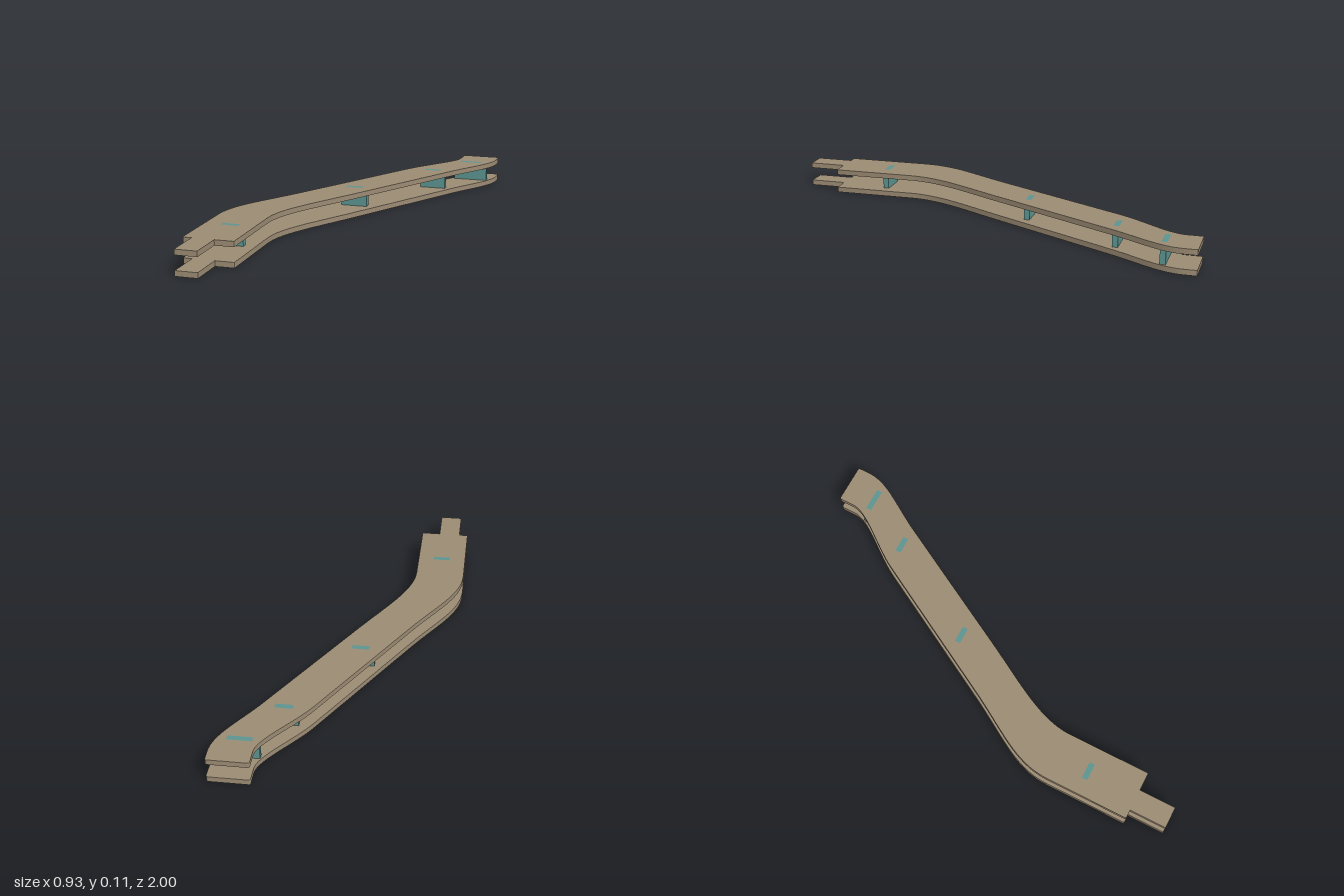
import * as THREE from 'three';
import { toCreasedNormals } from 'three/addons/utils/BufferGeometryUtils.js';

const PLATE = 0.024, GAP_TOP = 0.087, HEIGHT = 0.111, THICK = 0.025;

// Spacers: centre x, centre z, body width, tab width
const SPACERS = [
  [-0.354, 0.6, 0.122, 0.076],
  [-0.053, -0.18, 0.122, 0.076],
  [0.211, -0.63, 0.122, 0.076],
  [0.351, -0.855, 0.162, 0.104],
];

// Plan outline of a plate, drawn with shape y = -z
function plateShape() {
  const s = new THREE.Shape();
  s.moveTo(-0.425, -1);
  s.lineTo(-0.327, -1);
  s.lineTo(-0.327, -0.833);
  s.lineTo(-0.25, -0.833);
  s.quadraticCurveTo(-0.243, -0.833, -0.243, -0.826);
  s.lineTo(-0.243, -0.46);
  s.bezierCurveTo(-0.243, -0.31, -0.137, -0.165, -0.025, 0.035);
  s.lineTo(0.31, 0.635);
  s.bezierCurveTo(0.39, 0.77, 0.463, 0.85, 0.463, 0.95);
  s.lineTo(0.463, 0.99);
  s.quadraticCurveTo(0.463, 1, 0.453, 1);
  s.lineTo(0.295, 1);
  s.quadraticCurveTo(0.285, 1, 0.285, 0.99);
  s.lineTo(0.285, 0.93);
  s.bezierCurveTo(0.285, 0.85, 0.15, 0.73, 0.085, 0.61);
  s.lineTo(-0.257, 0);
  s.bezierCurveTo(-0.37, -0.2, -0.465, -0.3, -0.465, -0.46);
  s.lineTo(-0.465, -0.826);
  s.quadraticCurveTo(-0.465, -0.833, -0.458, -0.833);
  s.lineTo(-0.425, -0.833);
  s.closePath();

  // Slots that receive the spacer tabs
  for (const [x, z, , tab] of SPACERS) {
    const w = tab / 2, t = THICK / 2;
    s.holes.push(new THREE.Path([
      new THREE.Vector2(x - w, -z - t),
      new THREE.Vector2(x - w, -z + t),
      new THREE.Vector2(x + w, -z + t),
      new THREE.Vector2(x + w, -z - t),
    ]));
  }
  return s;
}

export function createModel() {
  const group = new THREE.Group();
  const plateMat = new THREE.MeshStandardMaterial({ color: 0x9b8b73 });
  const spacerMat = new THREE.MeshStandardMaterial({ color: 0x5b9490 });

  // Two identical plates, one above the other
  const flat = new THREE.ExtrudeGeometry(plateShape(), { depth: PLATE, bevelEnabled: false, curveSegments: 20 });
  flat.rotateX(-Math.PI / 2);
  const plateGeo = toCreasedNormals(flat, 0.5);
  for (const [name, y] of [['lowerPlate', 0], ['upperPlate', GAP_TOP]]) {
    const plate = new THREE.Mesh(plateGeo, plateMat);
    plate.name = name;
    plate.position.y = y;
    group.add(plate);
  }

  // Spacers with a tab at each end, flush with the outer plate faces
  SPACERS.forEach(([x, z, body, tab], i) => {
    const b = body / 2, t = tab / 2;
    const profile = new THREE.Shape([
      [-t, 0], [t, 0], [t, PLATE], [b, PLATE], [b, GAP_TOP], [t, GAP_TOP],
      [t, HEIGHT], [-t, HEIGHT], [-t, GAP_TOP], [-b, GAP_TOP], [-b, PLATE], [-t, PLATE],
    ].map(([px, py]) => new THREE.Vector2(px, py)));
    const geo = new THREE.ExtrudeGeometry(profile, { depth: THICK, bevelEnabled: false });
    const spacer = new THREE.Mesh(geo, spacerMat);
    spacer.name = `spacer${i + 1}`;
    spacer.position.set(x, 0, z - THICK / 2);
    group.add(spacer);
  });

  return group;
}
